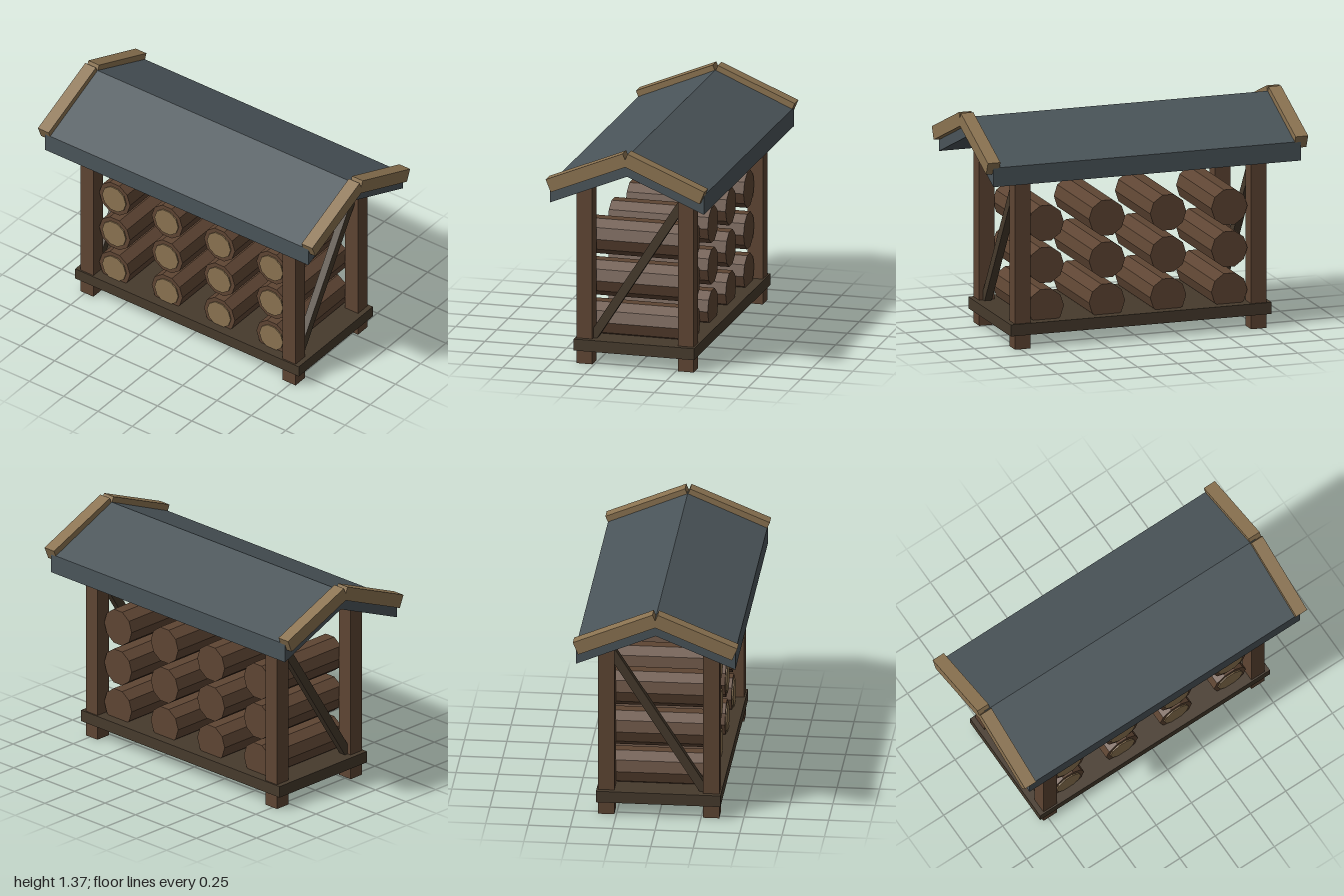
import * as THREE from 'three';

export function createModel() {
  const model = new THREE.Group();
  model.name = 'logShelter';

  const material = (name, color) => {
    const m = new THREE.MeshStandardMaterial({ color });
    m.name = name;
    return m;
  };
  const bark = material('brown timber', 0x5e4533);
  const dark = material('dark timber', 0x463a2c);
  const pale = material('pale wood', 0x8b7351);
  const slate = material('slate roof', 0x4a5459);

  const add = (name, geometry, mat, x = 0, y = 0, z = 0, rotX = 0) => {
    const mesh = new THREE.Mesh(geometry, mat);
    mesh.name = name;
    mesh.position.set(x, y, z);
    mesh.rotation.x = rotX;
    model.add(mesh);
    return mesh;
  };

  // Floor platform
  add('floor', new THREE.BoxGeometry(1.63, 0.07, 0.735), dark, 0, 0.12, 0);

  // Corner posts, their tops hidden inside the roof
  const postGeo = new THREE.BoxGeometry(0.095, 1.14, 0.095);
  for (const x of [-0.737, 0.737])
    for (const z of [-0.31, 0.31]) add('post', postGeo, bark, x, 0.57, z);

  // Diagonal brace at each end, rising towards the back
  const braceGeo = new THREE.BoxGeometry(0.045, 1.1, 0.053);
  for (const x of [-0.737, 0.737])
    add('brace', braceGeo, dark, x, 0.58, 0, -Math.atan2(0.62, 0.975));

  // Gabled roof: a chevron section extruded along x
  const section = new THREE.Shape([
    [-0.47, 1.025], [0, 1.22], [0.47, 1.025],
    [0.47, 1.14], [0, 1.34], [-0.47, 1.14],
  ].map(([z, y]) => new THREE.Vector2(z, y)));
  const roofGeo = new THREE.ExtrudeGeometry(section, { depth: 1.92, bevelEnabled: false });
  roofGeo.translate(0, 0, -0.96);
  roofGeo.rotateY(Math.PI / 2);
  add('roof', roofGeo, slate);

  // Barge boards capping both gables
  const boardGeo = new THREE.BoxGeometry(0.078, 0.081, 0.509);
  for (const x of [-0.961, 0.961])
    for (const side of [-1, 1])
      add('bargeBoard', boardGeo, pale, x, 1.235, side * 0.235, side * Math.atan2(0.195, 0.47));

  // Ten-sided logs lying front to back, with a cut face on the front
  const prism = (radius, length) => {
    const g = new THREE.CylinderGeometry(radius, radius, length, 10);
    g.rotateY(Math.PI / 2); // corners on the horizontal axis
    g.rotateX(Math.PI / 2);
    const flat = g.toNonIndexed();
    flat.computeVertexNormals();
    return flat;
  };
  const logGeo = prism(0.1125, 0.61);
  const faceGeo = prism(0.086, 0.009);
  for (const y of [0.23, 0.483, 0.737])
    for (const x of [-0.573, -0.191, 0.191, 0.573]) {
      add('log', logGeo, bark, x, y, 0);
      add('logCutFace', faceGeo, pale, x, y, 0.308);
    }

  return model;
}
